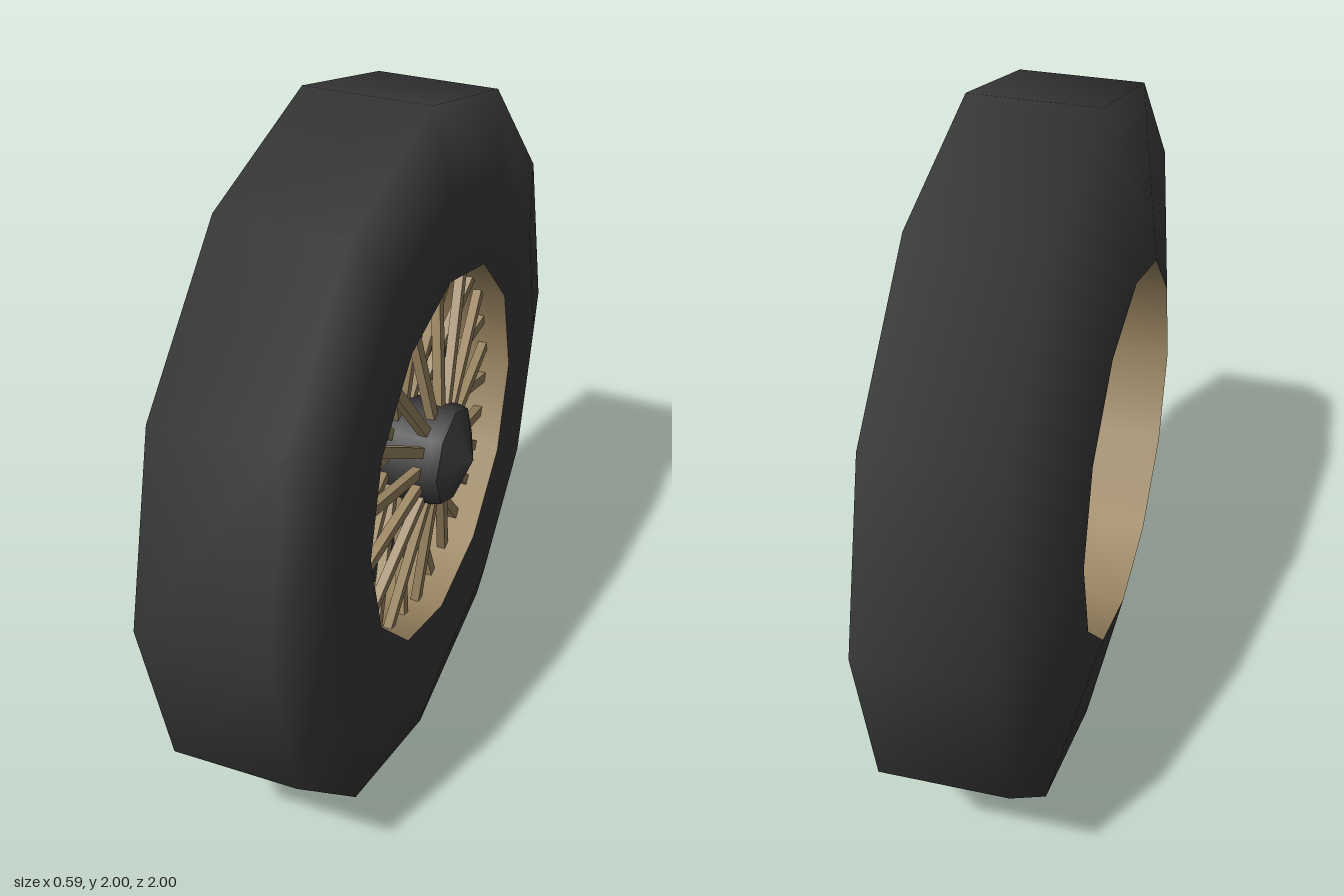
import * as THREE from 'three';

export function createModel() {
  const model = new THREE.Group();
  const rubber = new THREE.MeshStandardMaterial({ color: 0x3a3a3a });
  rubber.name = 'dark rubber';
  const wood = new THREE.MeshStandardMaterial({ color: 0x9a8561 });
  wood.name = 'tan rim';

  // The wheel is modelled around its own centre; the axle runs along x.
  const wheel = new THREE.Group();
  wheel.name = 'wheel';
  wheel.position.y = 1;
  model.add(wheel);

  const add = (name, geometry, material) => {
    const mesh = new THREE.Mesh(geometry, material);
    mesh.name = name;
    wheel.add(mesh);
    return mesh;
  };

  // Turned part from [radius, x] pairs
  const turned = (name, profile, sides, material) => {
    const points = profile.map(([r, x]) => new THREE.Vector2(r, x));
    const geometry = new THREE.LatheGeometry(points, sides).rotateZ(-Math.PI / 2);
    return add(name, geometry, material);
  };

  // Upright disc between two x positions
  const disc = (name, radius, x0, x1, sides, turn) => {
    const geometry = new THREE.CylinderGeometry(radius, radius, x1 - x0, sides)
      .rotateY(turn).rotateZ(-Math.PI / 2).translate((x0 + x1) / 2, 0, 0);
    return add(name, geometry, rubber);
  };

  // Tyre shell and the open rim lining inside it
  turned('tyre', [[0.53, -0.3], [1, -0.2], [1, 0.15], [0.77, 0.21], [0.53, 0.21]], 12, rubber);
  turned('rim', [[0.53, 0.21], [0.53, -0.3]], 12, wood);

  // Brake disc with a small boss on its inner side
  disc('brakeDisc', 0.414, 0.03, 0.07, 12, Math.PI / 12);
  disc('innerBoss', 0.15, 0.0, 0.03, 8, 0);

  // Hub barrel and pointed cap
  turned('hub', [[0.148, 0.05], [0.145, 0.21], [0.138, 0.235]], 8, rubber);
  turned('hubCap', [[0.138, 0.235], [0, 0.29]], 8, rubber);

  // Spokes in two layers that meet at the rim
  const count = 30;
  for (let i = 0; i < count; i++) {
    const inner = new THREE.Vector2(i % 2 ? 0.18 : 0.08, 0.11);
    const outer = new THREE.Vector2(0.13, 0.525);
    const span = outer.clone().sub(inner);
    const geometry = new THREE.BoxGeometry(0.025, span.length(), 0.03)
      .rotateZ(-Math.atan2(span.x, span.y))
      .translate((inner.x + outer.x) / 2, (inner.y + outer.y) / 2, 0)
      .rotateX((i / count) * Math.PI * 2);
    add('spoke', geometry, wood);
  }

  return model;
}
